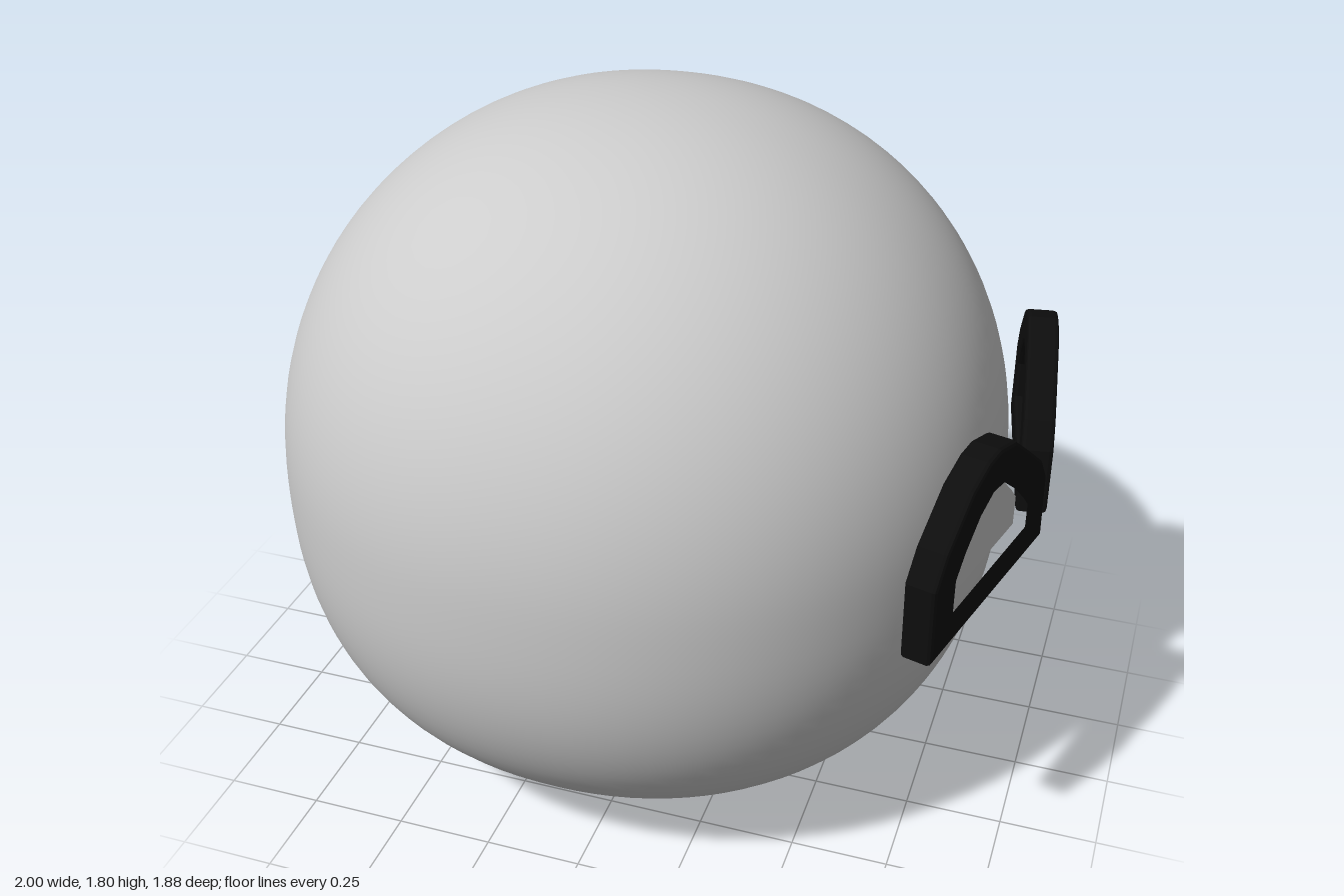
import * as THREE from 'three';
import { mergeVertices } from 'three/addons/utils/BufferGeometryUtils.js';

const bodyGrey = new THREE.MeshStandardMaterial({ color: 0xcccccc });
bodyGrey.name = 'pale grey';
const frameBlack = new THREE.MeshStandardMaterial({ color: 0x0d0d0d });
frameBlack.name = 'black';

// Rounded head: a sphere swollen slightly towards a cube, flatter underneath
function headGeometry() {
  const g = new THREE.SphereGeometry(1, 96, 64);
  g.deleteAttribute('uv');
  g.deleteAttribute('normal');
  const p = g.attributes.position;
  const v = new THREE.Vector3();
  for (let i = 0; i < p.count; i++) {
    v.fromBufferAttribute(p, i);
    const plan = 2.1;
    const rise = v.y < 0 ? 2.5 : 2.1;
    const flat = Math.hypot(v.x, v.z);
    const ring = flat < 1e-6 ? 0
      : flat / Math.pow(Math.abs(v.x) ** plan + Math.abs(v.z) ** plan, 1 / plan);
    const k = 1 / Math.pow(flat ** rise + Math.abs(v.y) ** rise, 1 / rise);
    p.setXYZ(i, v.x * k * ring * 0.94, 0.87 + v.y * k * (v.y < 0 ? 0.865 : 0.935), v.z * k * ring * 0.94);
  }
  const merged = mergeVertices(g, 1e-5);
  merged.computeVertexNormals();
  return merged;
}

// Outlines of one eyepiece: distance from the nose, height
const MID = 0.34;
const outer = [[0.628, 0.762], [0.633, 0.967], [0.587, 1.043], [0.476, 1.15], [0.4, 1.187],
  [0.345, 1.194], [0.263, 1.175], [0.17, 1.1], [0.09, 1.033], [0.05, 0.967], [0.042, 0.79]];
const inner = [[0.542, 0.846], [0.542, 0.947], [0.5, 1.005], [0.435, 1.07], [0.37, 1.104],
  [0.31, 1.1], [0.245, 1.048], [0.182, 0.987], [0.147, 0.947], [0.147, 0.868]];

// side -1 is the eyepiece at +z, +1 the one at -z
function eyepiece(name, side, x, angle) {
  const stretch = side / Math.cos(angle);
  const pts = (list) => list.map(([u, y]) => new THREE.Vector2((u - MID) * stretch, y));
  const group = new THREE.Group();
  group.name = name;

  const rim = new THREE.Shape(pts(outer));
  rim.holes.push(new THREE.Path(pts(inner)));
  const rimGeo = new THREE.ExtrudeGeometry(rim, {
    depth: 0.06, bevelEnabled: true, bevelThickness: 0.01, bevelSize: 0.01,
    bevelOffset: -0.01, bevelSegments: 2,
  });
  rimGeo.translate(0, 0, -0.03);
  const frame = new THREE.Mesh(rimGeo, frameBlack);
  frame.name = 'frame';

  const lensGeo = new THREE.ExtrudeGeometry(new THREE.Shape(pts(inner)), { depth: 0.008, bevelEnabled: false });
  lensGeo.translate(0, 0, -0.004);
  const lens = new THREE.Mesh(lensGeo, bodyGrey);
  lens.name = 'lens';

  group.add(frame, lens);
  group.position.set(x, 0, -side * MID);
  group.rotation.y = Math.PI / 2 + side * angle;
  return group;
}

export function createModel() {
  const model = new THREE.Group();
  model.name = 'headWithGlasses';

  const head = new THREE.Mesh(headGeometry(), bodyGrey);
  head.name = 'head';
  head.position.x = -0.06;
  model.add(head);

  model.add(eyepiece('frontEyepiece', -1, 0.878, 0.27));
  model.add(eyepiece('backEyepiece', 1, 0.905, 0.175));
  return model;
}
